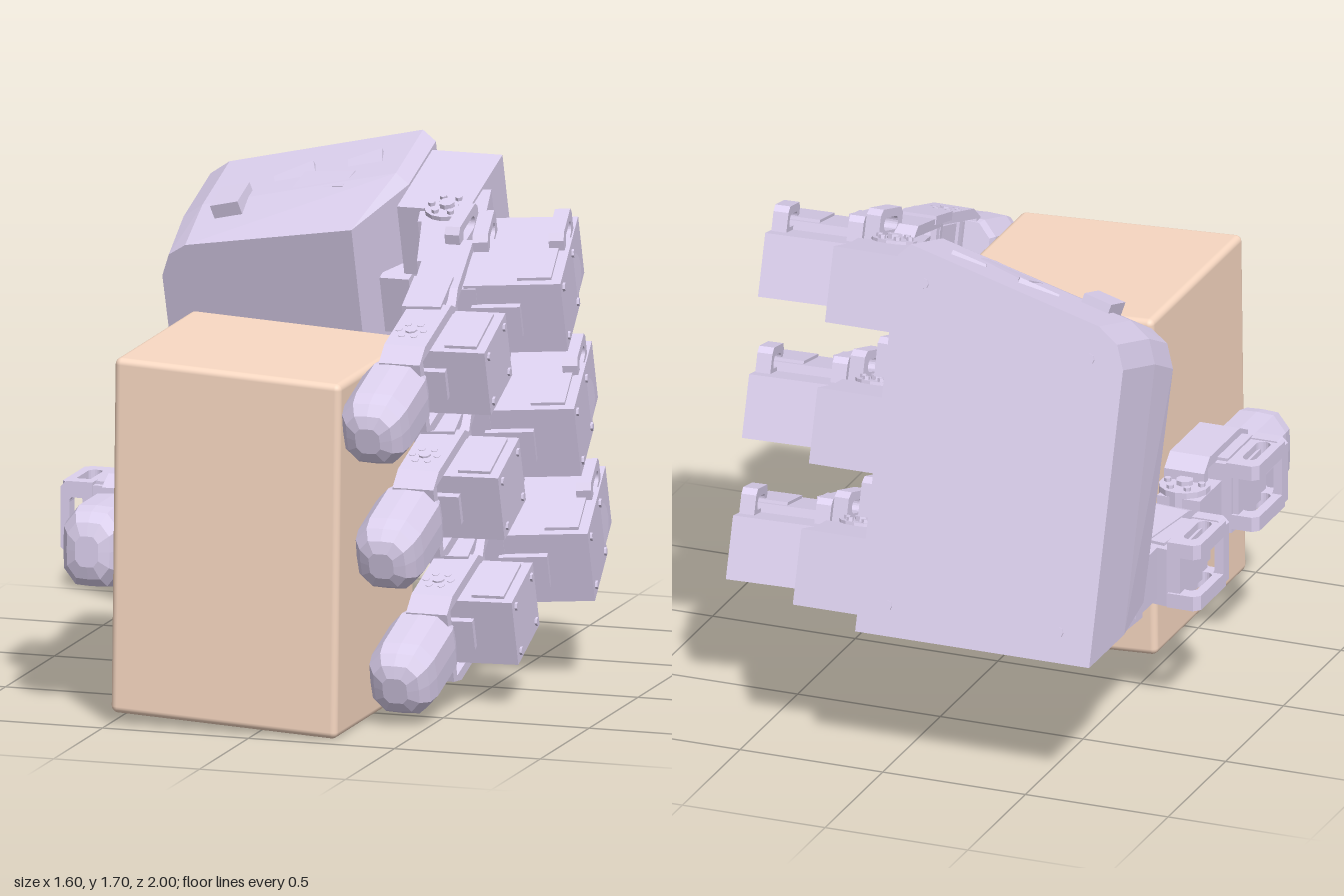
import * as THREE from 'three';
import { RoundedBoxGeometry } from 'three/addons/geometries/RoundedBoxGeometry.js';
import { ConvexGeometry } from 'three/addons/geometries/ConvexGeometry.js';

const shell = new THREE.MeshStandardMaterial({ color: 0xdcd0ee, flatShading: true });
const tan = new THREE.MeshStandardMaterial({ color: 0xf8d8c2 });

function add(parent, name, geometry, pos = [0, 0, 0], rot = [0, 0, 0], material = shell) {
  const mesh = new THREE.Mesh(geometry, material);
  mesh.name = name;
  mesh.position.set(...pos);
  mesh.rotation.set(...rot);
  parent.add(mesh);
}

function group(parent, name, pos = [0, 0, 0], rot = [0, 0, 0]) {
  const g = new THREE.Group();
  g.name = name;
  g.position.set(...pos);
  g.rotation.set(...rot);
  parent.add(g);
  return g;
}

const box = (x, y, z) => new THREE.BoxGeometry(x, y, z);

// Stadium-shaped hole, long along the first axis
function slotHole(length, r) {
  const p = new THREE.Path(), h = length / 2 - r;
  p.absarc(h, 0, r, -Math.PI / 2, Math.PI / 2, false);
  p.absarc(-h, 0, r, Math.PI / 2, Math.PI * 1.5, false);
  p.closePath();
  return p;
}

// Flat piece with one hole, centred in its thickness
function plate(points, hole, depth) {
  const s = new THREE.Shape(points.map(p => new THREE.Vector2(...p)));
  s.holes.push(hole);
  return new THREE.ExtrudeGeometry(s, { depth, bevelEnabled: false, curveSegments: 5 })
    .translate(0, 0, -depth / 2);
}
// SIDE: plate runs along z, thickness along x. FLAT: runs along z, thickness along y.
const SIDE = [0, -Math.PI / 2, 0];
const FLAT = [Math.PI / 2, 0, Math.PI / 2];

function slottedTab(parent, pos, w, h, rot = SIDE) {
  const c = 0.02;
  const outline = [[-w / 2, -h / 2], [w / 2, -h / 2], [w / 2, h / 2 - c], [w / 2 - c, h / 2],
    [-w / 2 + c, h / 2], [-w / 2, h / 2 - c]];
  add(parent, 'slottedTab', plate(outline, slotHole(w * 0.62, h * 0.22), 0.05), pos, rot);
}

// Hinge disc with a ring of screws on both ends, axis along y
function hinge(parent, pos, r, height) {
  const g = group(parent, 'hinge', pos);
  add(g, 'hingeDrum', new THREE.CylinderGeometry(r, r, height, 14));
  for (const s of [-1, 1]) {
    add(g, 'hingeCap', new THREE.CylinderGeometry(r * 0.35, r * 0.35, 0.02, 8), [0, s * (height / 2 + 0.006), 0]);
    for (let i = 0; i < 6; i++) {
      const a = i * Math.PI / 3;
      add(g, 'screw', new THREE.CylinderGeometry(0.012, 0.012, 0.014, 6),
        [Math.cos(a) * r * 0.7, s * (height / 2 + 0.005), Math.sin(a) * r * 0.7]);
    }
  }
}

// Motor housing with raised end cap, flanges and screws on the outer face
function motor(parent, pos, size, rotY, side = 1) {
  const g = group(parent, 'motor', pos, [0, rotY, 0]);
  const [x, y, z] = size;
  add(g, 'motorHousing', box(x, y, z));
  add(g, 'motorCap', box(x * 0.35, y + 0.02, z * 0.82), [side * x * 0.22, 0, 0]);
  for (const s of [-1, 1]) {
    add(g, 'motorFlange', box(x * 0.5, y * 0.45, 0.03), [-side * x * 0.18, 0, s * (z / 2 + 0.01)]);
    for (const t of [-1, 1]) {
      add(g, 'screw', new THREE.CylinderGeometry(0.014, 0.014, 0.016, 6),
        [side * x / 2, s * y * 0.36, t * z * 0.36], [0, 0, Math.PI / 2]);
    }
  }
  return g;
}

// Faceted finger pad: a lathe squared off in section, pointing along +z
function fingertip(parent, pos, sx, sy, length) {
  const profile = [[0, 0], [0.92, 0], [1, 0.1], [1, 0.68], [0.92, 0.84], [0.7, 0.95], [0.38, 1], [0, 1]];
  const geo = new THREE.LatheGeometry(profile.map(p => new THREE.Vector2(...p)), 12);
  const p = geo.attributes.position;
  for (let i = 0; i < p.count; i++) {
    const x = p.getX(i), z = p.getZ(i), r = Math.hypot(x, z);
    if (r < 1e-5) continue;
    const k = r / Math.pow(x ** 4 + z ** 4, 0.25);
    p.setXYZ(i, x * k, p.getY(i), z * k);
  }
  geo.scale(sx / 2, length, sy / 2).rotateX(Math.PI / 2);
  geo.computeVertexNormals();
  add(parent, 'fingertip', geo, pos);
}

// Open frame seen from the side, tapering toward both ends
function frame(parent, pos, length, height, depth, rotY = 0) {
  const l = length / 2, h = height / 2, a = l - 0.035, b = h - 0.035;
  const outline = [[-l, -h * 0.75], [-l + 0.05, -h], [l - 0.07, -h], [l, -h * 0.8],
    [l, h * 0.8], [l - 0.07, h], [-l + 0.05, h], [-l, h * 0.75]];
  const hole = new THREE.Path([[-a, -b], [a, -b], [a, b], [-a, b]].map(p => new THREE.Vector2(...p)));
  add(parent, 'linkFrame', plate(outline, hole, depth), pos, [0, -Math.PI / 2 + rotY, 0]);
}

function finger(hand, y) {
  const f = group(hand, 'finger', [0, y, 0]);
  // knuckle block bolted to the palm
  add(f, 'knuckleBlock', box(0.24, 0.25, 0.38), [0.22, 0, -0.86]);
  add(f, 'knuckleCover', box(0.22, 0.23, 0.2), [0.28, 0, -0.72], [0, 0.2, 0]);
  hinge(f, [0.27, 0, -0.68], 0.075, 0.27);
  // side hinge that spreads the finger
  add(f, 'spreadHinge', new THREE.CylinderGeometry(0.085, 0.085, 0.43, 16), [0.53, 0, -0.5], [0, 0, Math.PI / 2]);
  add(f, 'knuckleLink', box(0.15, 0.24, 0.3), [0.31, 0, -0.5], [0, 0.25, 0]);
  slottedTab(f, [0.38, 0.16, -0.5], 0.2, 0.1);
  // first link
  frame(f, [0.39, 0, -0.26], 0.44, 0.31, 0.15, 0.15);
  const m = motor(f, [0.61, 0, -0.37], [0.32, 0.25, 0.31], 0.18);
  // solid rear part of the motor, with slotted ears on top
  add(m, 'motorRear', box(0.3, 0.21, 0.2), [0, -0.01, -0.25]);
  for (const x of [-0.13, 0.12]) slottedTab(m, [x, 0.13, -0.17], 0.2, 0.1);
  add(f, 'motorNeck', box(0.16, 0.23, 0.25), [0.42, 0, -0.3], [0, 0.18, 0]);
  for (const s of [-1, 1]) {
    add(f, 'linkEar', box(0.13, 0.03, 0.2), [0.4, s * 0.15, -0.07], [0, 0.1, 0]);
  }
  hinge(f, [0.4, 0, -0.09], 0.06, 0.27);
  // second link
  frame(f, [0.43, 0, 0.14], 0.4, 0.31, 0.14);
  motor(f, [0.52, 0, 0.09], [0.31, 0.23, 0.27], 0.05);
  hinge(f, [0.42, 0, 0.17], 0.06, 0.29);
  fingertip(f, [0.405, 0, 0.3], 0.22, 0.24, 0.34);
}

function thumb(root) {
  const t = group(root, 'thumb');
  add(t, 'thumbBase', box(0.22, 0.18, 0.4), [-0.54, 0.5, -0.55], [0.06, 0, 0]);
  add(t, 'thumbNeck', box(0.17, 0.18, 0.25), [-0.57, 0.51, -0.3]);
  frame(t, [-0.57, 0.5, -0.06], 0.38, 0.23, 0.13, -0.12);
  motor(t, [-0.6, 0.5, -0.1], [0.22, 0.2, 0.26], -0.15, -1);
  for (const x of [-0.61, -0.53]) add(t, 'topBracket', box(0.05, 0.26, 0.14), [x, 0.69, -0.36], [0.3, 0, 0]);
  hinge(t, [-0.59, 0.53, 0.16], 0.085, 0.26);
  add(t, 'thumbLink', box(0.15, 0.2, 0.2), [-0.6, 0.54, 0.18]);
  frame(t, [-0.58, 0.57, 0.37], 0.38, 0.33, 0.14);
  motor(t, [-0.6, 0.58, 0.4], [0.22, 0.24, 0.26], 0, -1);
  // slotted horns on the outer side of both motors
  for (const [y, z] of [[0.51, -0.11], [0.59, 0.4]]) {
    for (const s of [-1, 1]) slottedTab(t, [-0.745, y + s * 0.09, z], 0.26, 0.11, FLAT);
    slottedTab(t, [-0.745, y, z + 0.11], 0.24, 0.11, [0, 0, Math.PI / 2]);
    add(t, 'hornBacking', box(0.04, 0.18, 0.24), [-0.71, y, z]);
  }
  fingertip(t, [-0.605, 0.55, 0.53], 0.21, 0.27, 0.32);
}

function palm(hand) {
  // two full outlines and a smaller front one give the chamfered edges
  const full = [[0.1, 0.16], [0.1, 1.4], [0.06, 1.44], [-0.62, 1.27], [-0.69, 1.22], [-0.72, 1.14], [-0.72, 0.16]];
  const front = [[-0.04, 0.34], [-0.04, 1.33], [-0.62, 1.23], [-0.68, 1.19], [-0.71, 1.11], [-0.7, 0.34]];
  const at = (outline, z) => outline.map(([x, y]) => new THREE.Vector3(x, y, z));
  const lifted = full.map(([x, y]) => [x, Math.max(y, 0.25)]);
  add(hand, 'palm', new ConvexGeometry([...at(full, -1.09), ...at(lifted, -0.8), ...at(front, -0.6)]));
  // ribs and slotted tabs between the finger blocks
  for (const y of [0.57, 1.03]) {
    add(hand, 'palmRib', box(0.1, 0.2, 0.3), [0.07, y, -0.8]);
    slottedTab(hand, [0.14, y + 0.02, -0.91], 0.2, 0.13);
  }
  // clip and worn ridges on the upper face
  add(hand, 'cableClip', box(0.1, 0.12, 0.13), [-0.5, 1.27, -0.78], [0, 0, 0.25]);
  for (const [x, z, w, turn] of [[-0.32, -0.9, 0.14, 0.4], [-0.2, -0.84, 0.2, -0.2], [-0.08, -0.92, 0.12, 0.3]]) {
    add(hand, 'topRidge', box(w, 0.05, 0.09), [x, 1.352 + (x + 0.2) * 0.25, z], [0.15, turn, 0.25]);
  }
  for (const [x, y] of [[0, 1.32], [-0.6, 1.16], [0, 0.26], [-0.6, 0.26]]) {
    add(hand, 'palmScrew', new THREE.CylinderGeometry(0.018, 0.018, 0.01, 8), [x, y, -1.09], [Math.PI / 2, 0, 0]);
  }
}

export function createModel() {
  const root = new THREE.Group();
  root.name = 'robotHandHoldingBox';

  // held box, slightly skewed
  const skew = new THREE.Matrix4().makeShear(-0.05, 0, 0.012, 0, 0, 0);
  const held = new RoundedBoxGeometry(0.775, 1.18, 0.79, 3, 0.022).applyMatrix4(skew);
  add(root, 'heldBox', held, [-0.102, 0.611, 0.54], [0, 0, 0], tan);

  // palm and fingers share one forward tilt
  const hand = group(root, 'hand', [0, 0, 0], [0.305, 0, 0]);
  palm(hand);
  for (const y of [0.335, 0.8, 1.265]) finger(hand, y);
  thumb(root);
  return root;
}
